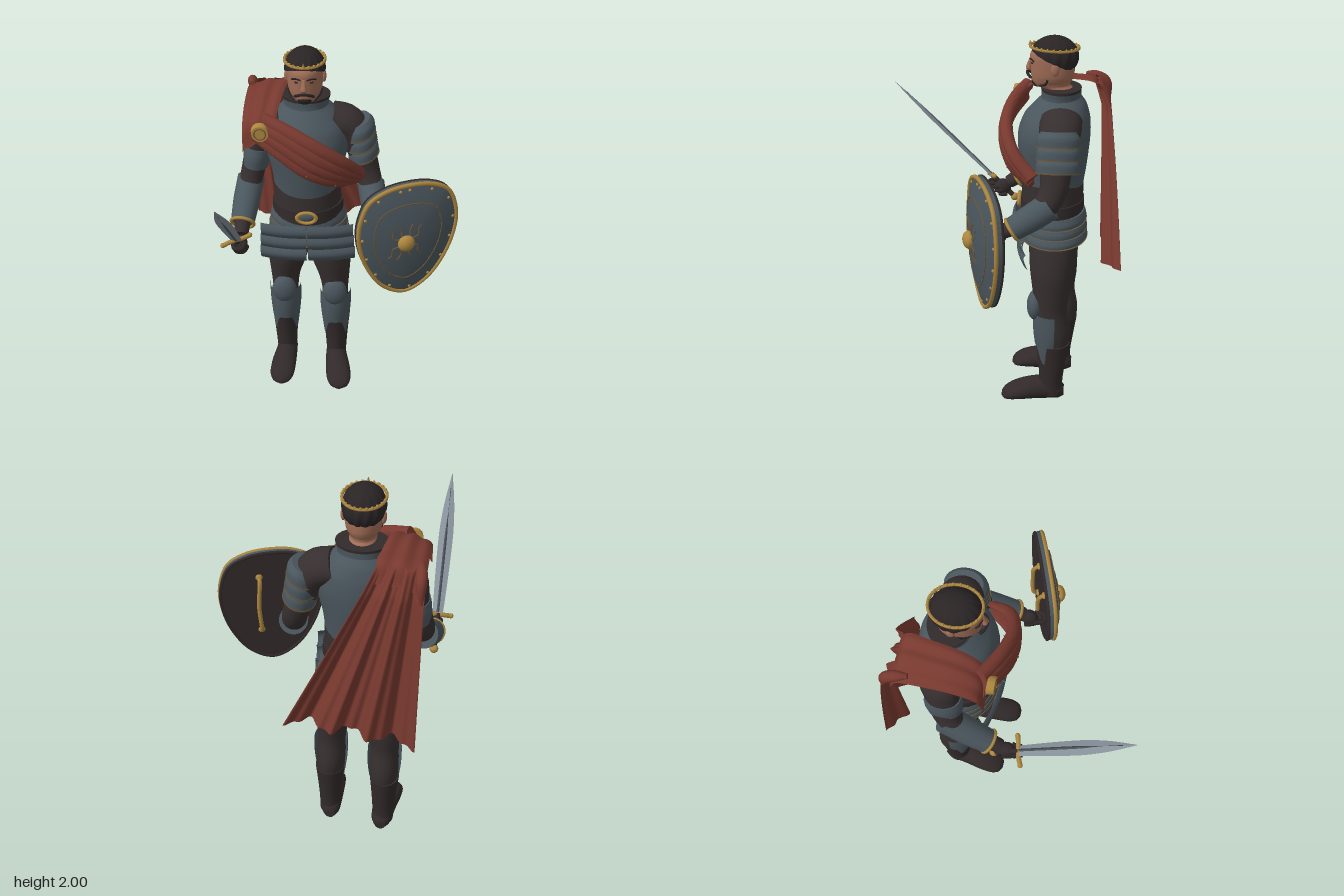
import * as THREE from 'three';
import { toCreasedNormals } from 'three/addons/utils/BufferGeometryUtils.js';
import { ParametricGeometry } from 'three/addons/geometries/ParametricGeometry.js';

const V = (x, y, z) => new THREE.Vector3(x, y, z);
const X = V(1, 0, 0), Y = V(0, 1, 0), Z = V(0, 0, 1);
const { lerp } = THREE.MathUtils;
const { sin, cos, PI, abs } = Math;
const CX = -0.18; // body centre line

function mat(name, color, side = THREE.FrontSide) {
  const m = new THREE.MeshStandardMaterial({ color, side });
  m.name = name;
  return m;
}
// Smooth solid through elliptical sections [x, y, z, r1, r2]
function sweep(pts, { ref = Z, dir = null, n = 24, steps = 5, crease = 0.8 } = {}) {
  const path = new THREE.CatmullRomCurve3(pts.map(p => V(p[0], p[1], p[2])));
  const radii = new THREE.CatmullRomCurve3(pts.map(p => V(p[3], p[4] ?? p[3], 0)), false, 'catmullrom');
  const N = (pts.length - 1) * steps, pos = [], idx = [];
  for (let i = 0; i <= N; i++) {
    const c = path.getPoint(i / N), r = radii.getPoint(i / N), t = dir ?? path.getTangent(i / N);
    const u = t.clone().cross(ref).normalize(), v = u.clone().cross(t).normalize();
    for (let j = 0; j < n; j++) {
      const a = j / n * 2 * PI;
      pos.push(...c.clone().addScaledVector(u, cos(a) * Math.max(r.x, 5e-4)).addScaledVector(v, sin(a) * Math.max(r.y, 5e-4)));
    }
  }
  pos.push(...path.getPoint(0), ...path.getPoint(1));
  const s = (N + 1) * n;
  for (let j = 0; j < n; j++) {
    const k = (j + 1) % n;
    for (let i = 0; i < N; i++) {
      const a = i * n + j, b = i * n + k;
      idx.push(a, a + n, b, b, a + n, b + n);
    }
    idx.push(s, j, k, s + 1, N * n + k, N * n + j);
  }
  const g = new THREE.BufferGeometry();
  g.setAttribute('position', new THREE.Float32BufferAttribute(pos, 3));
  g.setIndex(idx);
  return toCreasedNormals(g, crease);
}
// Upright solid with level rings, rows of [y, z, rx, rz]
const loft = (rows, x = CX, o = {}) => sweep(rows.map(r => [x, ...r]), { dir: Y, n: 32, ...o });
const sheet = (f, nu, nv) => new ParametricGeometry(f, nu, nv);
const tube = (pts, r, closed = false, seg = 32) =>
  new THREE.TubeGeometry(new THREE.CatmullRomCurve3(pts.map(p => V(...p)), closed), seg, r, 6, closed);

export function createModel() {
  const M = {
    steel: mat('slate steel', 0x4a565d, THREE.DoubleSide),
    cloth: mat('dark cloth', 0x372f2f),
    leather: mat('boot leather', 0x322a2a, THREE.DoubleSide),
    red: mat('red cape cloth', 0x78392f, THREE.DoubleSide),
    gold: mat('gold', 0xac863f),
    bronze: mat('dull bronze', 0x6b5634),
    skin: mat('skin', 0xa06d56),
    hair: mat('dark hair', 0x2a2425, THREE.DoubleSide),
    blade: mat('blade steel', 0x87919a),
    fuller: mat('blade groove', 0x4a5258),
  };
  const model = new THREE.Group();
  const add = (name, geo, m, parent = model) => {
    const mesh = new THREE.Mesh(geo, m);
    mesh.name = name;
    parent.add(mesh);
    return mesh;
  };
  const ball = (name, m, p, s, parent = model) => {
    const b = add(name, new THREE.SphereGeometry(1, 16, 12), m, parent);
    b.position.set(...p);
    b.scale.set(...s);
  };

  // Torso armour, waist and collar
  add('breastplate', loft([[1.235, -.25, .17, .155], [1.35, -.25, .182, .17], [1.5, -.25, .212, .182], [1.6, -.262, .195, .165], [1.67, -.28, .14, .125], [1.71, -.285, .1, .09]]), M.steel);
  add('waist', loft([[.88, -.265, .17, .125], [1, -.262, .19, .15], [1.12, -.25, .178, .158], [1.2, -.25, .173, .158], [1.27, -.25, .175, .156]]), M.cloth);
  add('collar', loft([[1.64, -.275, .135, .12], [1.69, -.28, .112, .1], [1.745, -.28, .118, .098]]), M.steel);
  add('collarRim', loft([[1.735, -.28, .119, .099], [1.748, -.28, .12, .1]]), M.leather);
  for (let i = 0; i < 3; i++) {
    const y = 1.1 - i * .05, w = i * .008;
    add('hipBand', loft([[y, -.26, .186 + w, .158 + w / 2], [y - .03, -.262, .2 + w, .167 + w / 2], [y - .048, -.262, .2 + w, .168 + w / 2]]), M.steel);
    add('hipTrim', loft([[y - .046, -.262, .203 + w, .17 + w / 2], [y - .053, -.262, .203 + w, .17 + w / 2]]), M.bronze);
  }
  add('belt', loft([[1.11, -.25, .186, .164], [1.165, -.25, .183, .164]]), M.leather);
  const buckle = add('buckle', new THREE.TorusGeometry(.042, .01, 8, 28), M.gold);
  buckle.position.set(CX, 1.14, -.08);
  buckle.scale.set(1.15, .75, 1);
  ball('buckleStone', M.steel, [CX, 1.14, -.085], [.038, .022, .012]);

  // Hanging front plates, three curved rows on each side
  for (const s of [-1, 1]) for (let k = 0; k < 3; k++)
    add('frontSkirtPlate', sheet((u, v, p) => p.set(
      CX + s * (.004 + u * (.235 + .005 * k)),
      1.1 - k * .078 - v * .088 - .01 * u,
      -.075 - .012 * k - .045 * u * u + .03 * sin(PI * (.15 + .85 * v))), 14, 8), M.steel);

  // Legs, mirrored about the centre line
  for (const s of [1, -1]) {
    const dz = s > 0 ? 0 : -.035, x = v => CX + s * v, side = s > 0 ? 'left' : 'right';
    add(side + 'Leg', sweep([[x(.09), 1, -.265 + dz / 3, .1, .13], [x(.115), .8, -.26 + dz / 2, .108, .115], [x(.135), .65, -.26 + dz, .083, .095],
      [x(.14), .55, -.262 + dz, .072, .085], [x(.142), .42, -.275 + dz, .075, .092], [x(.145), .28, -.28 + dz, .062, .072]], { dir: Y.clone().negate() }), M.cloth);
    add(side + 'BootShaft', loft([[.04, -.275 + dz, .055, .065], [.12, -.272 + dz, .058, .064], [.24, -.275 + dz, .066, .075], [.36, -.275 + dz, .077, .092]], x(.146)), M.leather);
    const foot = [[.14, .045, -.345, .028, .03], [.142, .06, -.31, .052, .06], [.148, .066, -.22, .062, .066], [.158, .058, -.13, .07, .058], [.164, .043, -.06, .068, .043], [.166, .03, -.02, .05, .029], [.166, .024, -.003, .02, .014]];
    add(side + 'Foot', sweep(foot.map(([a, y, z, w, h]) => [x(a), y, z + dz, w, h]), { ref: Y, dir: Z }), M.leather);
    add(side + 'Greave', sheet((u, v, p) => {
      const a = (u - .5) * PI * 1.1, drop = .11 * Math.max(0, sin(abs(a) * 1.9 - .5)) ** 3;
      const r = .086 - .01 * v + .006 * sin(PI * v) - .08 * drop * v;
      p.set(x(.142) + sin(a) * r, lerp(.55, .355 - drop, v), -.27 + dz + cos(a) * (r + .014));
    }, 28, 8), M.steel);
    ball(side + 'KneeGuard', M.steel, [x(.14), .585, -.178 + dz * .6], [.067, .085, .045]);
  }

  // Arms, bracers and hands
  const arms = {
    left: {
      arm: [[-.06, 1.61, -.285, .105, .08], [.03, 1.58, -.285, .1, .085], [.09, 1.45, -.275, .08, .072], [.13, 1.32, -.262, .068, .062], [.15, 1.24, -.22, .06], [.172, 1.16, -.1, .045], [.18, 1.12, -.03, .036]],
      bracer: [[.147, 1.252, -.25, .07], [.163, 1.19, -.16, .068], [.18, 1.132, -.068, .06]], hand: [.18, 1.1, .0],
    },
    right: {
      arm: [[-.3, 1.61, -.285, .105, .08], [-.39, 1.58, -.285, .1, .08], [-.43, 1.45, -.275, .08, .065], [-.46, 1.32, -.262, .068, .06], [-.48, 1.24, -.22, .058], [-.5, 1.16, -.1, .045], [-.508, 1.09, .0, .036]],
      bracer: [[-.475, 1.262, -.27, .07], [-.492, 1.19, -.16, .068], [-.505, 1.125, -.055, .06]], hand: [-.51, 1.06, .035],
    },
  };
  for (const [side, a] of Object.entries(arms)) {
    add(side + 'Arm', sweep(a.arm, { ref: X }), M.cloth);
    add(side + 'Bracer', sweep(a.bracer, { ref: X }), M.steel);
    const [p, q] = a.bracer.slice(1).map(b => V(b[0], b[1], b[2])), [hx, hy, hz] = a.hand;
    const cuff = add(side + 'Cuff', new THREE.TorusGeometry(.058, .009, 8, 28), M.gold);
    cuff.position.copy(q);
    cuff.quaternion.setFromUnitVectors(Z, q.clone().sub(p).normalize());
    ball(side + 'Palm', M.leather, a.hand, [.036, .045, .045]);
    for (const o of [-.032, -.011, .011, .032])
      add(side + 'Finger', tube([[hx + .03, hy + o, hz + .01 + o], [hx + .015, hy + o - .01, hz + .045 + o], [hx - .02, hy + o - .01, hz + .045 + o], [hx - .03, hy + o, hz + .015 + o]], .012, false, 10), M.leather);
  }
  // Layered shoulder guard on the left, single band on the right
  const tilt = { ref: X, n: 32, dir: V(.3, -.95, 0).normalize() };
  for (let k = 0; k < 3; k++) {
    const x = .078 + k * .01, y = 1.605 - k * .062;
    add('shoulderPlate', sweep([[x, y, -.28, .085, .06], [x + .005, y - .03, -.28, .104, .078], [x + .01, y - .075, -.28, .106, .08]], tilt), M.steel);
    add('shoulderTrim', sweep([[x + .01, y - .071, -.28, .108, .082], [x + .011, y - .077, -.28, .108, .082]], tilt), M.bronze);
  }
  add('rightArmBand', sweep([[-.43, 1.46, -.275, .085, .068], [-.437, 1.41, -.272, .092, .07], [-.445, 1.35, -.268, .085, .065]], { ref: X }), M.steel);

  // Head
  add('head', loft([[1.66, -.285, .066, .07], [1.735, -.275, .064, .072], [1.763, -.232, .062, .09], [1.8, -.235, .08, .104], [1.86, -.235, .087, .108], [1.915, -.232, .085, .106], [1.95, -.236, .062, .08], [1.965, -.24, .03, .04]], CX, { crease: 1.5 }), M.skin);
  add('nose', sweep([[CX, 1.89, -.13, .01, .008], [CX, 1.855, -.12, .013, .012], [CX, 1.838, -.118, .018, .014], [CX, 1.828, -.128, .012, .01]], { dir: Y.clone().negate(), n: 12 }), M.skin);
  add('hair', sheet((u, v, p) => {
    const a = u * 2 * PI, back = (1 - cos(a)) / 2;
    const t = v * Math.acos(lerp(.34, -.6, Math.min(1, back * 1.1))), r = 1 + .02 * sin(a * 14 + t * 2) * sin(t);
    p.set(CX + sin(a) * sin(t) * .098 * r, 1.9 + cos(t) * .1, -.242 + cos(a) * sin(t) * .118 * r);
  }, 84, 14), M.hair);
  add('chinBeard', loft([[1.751, -.172, .024, .026], [1.765, -.172, .038, .037], [1.782, -.175, .044, .043], [1.79, -.176, .034, .042]]), M.hair);
  add('moustache', tube([[CX - .046, 1.802, -.132], [CX - .024, 1.816, -.115], [CX, 1.821, -.111], [CX + .024, 1.816, -.115], [CX + .046, 1.802, -.132]], .007), M.hair);
  for (const s of [-1, 1]) {
    ball('ear', M.skin, [CX + s * .09, 1.855, -.25], [.012, .032, .02]);
    ball('eye', M.hair, [CX + s * .034, 1.872, -.138], [.012, .005, .008]);
    add('eyebrow', tube([[CX + s * .014, 1.887, -.126], [CX + s * .036, 1.892, -.131], [CX + s * .058, 1.885, -.146]], .004, false, 10), M.hair);
    add('jawBeard', tube([[CX + s * .08, 1.805, -.215], [CX + s * .071, 1.778, -.205], [CX + s * .045, 1.763, -.172]], .006, false, 12), M.hair);
  }
  // Crown band with beads
  const ring = [...Array(24)].map((_, i) => i / 24 * 2 * PI).map(a => [CX + sin(a) * .097, 1.945 + .004 * cos(a), -.242 + cos(a) * .118]);
  add('crownBand', tube(ring, .007, true, 64), M.gold);
  ring.forEach(([x, y, z]) => ball('crownBead', M.gold, [x, y + .006, z], [.007, .006, .006]));
  const peak = add('crownPeak', new THREE.ConeGeometry(.009, .026, 6), M.gold);
  peak.position.set(CX, 1.964, -.123);

  // Cape: shoulder drape, gathered knot and pleated fall
  const over = new THREE.CatmullRomCurve3([V(0, 1.58, -.07), V(0, 1.69, -.1), V(0, 1.745, -.2), V(0, 1.757, -.36), V(0, 1.742, -.45), V(0, 1.66, -.488)]);
  add('capeShoulder', sheet((u, v, p) => {
    const c = over.getPoint(v);
    p.set(lerp(-.482, lerp(-.34, -.265, Math.min(1, v * 1.4)), u), c.y - .05 * (1 - u) ** 3 + .005 * sin(u * 16), c.z);
  }, 24, 24), M.red);
  add('capeFall', sheet((u, v, p) => {
    const w = v ** .8, fold = .5 + .5 * cos(2 * PI * (3.15 * u - .08)), ripple = cos(2 * PI * 8 * u);
    p.set(lerp(lerp(-.482, -.265, u), lerp(-.49, .135, u), v),
      lerp(1.735, lerp(.825, .9, u), v),
      -.45 - .03 * Math.min(1, v * 8) - .045 * w - (.015 + .06 * Math.sqrt(v)) * fold - (.004 + .01 * v) * ripple);
  }, 96, 24), M.red);
  add('capeKnot', sweep([[-.455, 1.735, -.4, .012], [-.46, 1.725, -.45, .026, .024], [-.465, 1.69, -.5, .03, .024], [-.47, 1.6, -.525, .008]], { ref: X, n: 14 }), M.red);

  // Chest sash made of overlapping folds
  const mid = [[-.4, 1.655, -.085, .034], [-.27, 1.6, -.022, .036], [-.13, 1.515, .004, .037], [0, 1.425, -.042, .032], [.085, 1.35, -.145, .018]];
  for (const k of [-1.5, -.5, .5, 1.5]) {
    const off = [.03, .037, .042, .034, .016].map(w => w * k);
    add('sashFold', sweep(mid.map(([x, y, z, r], i) => [x + off[i] * .5, y + off[i] * .87, z - .008 * abs(k) - .12 * off[i], r, .026 + .004 * k]), { n: 20 }), M.red);
    if (abs(k) > 1) for (let i = 0; i < 4; i++) for (let f = 0; f < 1; f += .2) {
      const at = c => lerp(mid[i][c], mid[i + 1][c], f), o = lerp(off[i], off[i + 1], f) * 1.2;
      ball('sashStud', M.bronze, [at(0) + o * .5, at(1) + o * .87, at(2) + .012 - .06 * o], [.004, .004, .004]);
    }
  }
  const brooch = add('brooch', new THREE.CylinderGeometry(.04, .046, .034, 24), M.gold);
  brooch.position.set(-.39, 1.648, -.05);
  brooch.rotation.x = PI / 2;
  add('broochRing', new THREE.TorusGeometry(.028, .003, 6, 24), M.bronze).position.set(-.39, 1.648, -.033);

  // Sword pointing up and forward
  const sword = new THREE.Group();
  sword.name = 'sword';
  sword.position.set(-.52, 1.12, .095);
  sword.rotation.x = PI / 4;
  model.add(sword);
  add('blade', sweep([[0, 0, 0, .026, .008], [0, .2, 0, .033, .008], [0, .42, 0, .036, .008], [0, .58, 0, .025, .007], [0, .738, 0, .001, .001]], { n: 4, dir: Y, crease: .15 }), M.blade, sword);
  add('bladeGroove', sweep([[0, .01, 0, .009, .0095], [0, .4, 0, .009, .0095], [0, .66, 0, .002, .006]], { n: 8, dir: Y }), M.fuller, sword);
  add('guard', tube([[-.066, .004, .03], [-.035, .002, .012], [.035, .002, -.012], [.066, .004, -.026]], .012, false, 16), M.gold, sword);
  for (const s of [-1, 1]) ball('guardTip', M.gold, [s * .066, .004, s * -.028], [.013, .013, .013], sword);
  add('grip', new THREE.CylinderGeometry(.014, .014, .17, 12), M.leather, sword).position.y = -.08;
  ball('pommel', M.gold, [0, -.175, 0], [.022, .022, .022], sword);

  // Shield: rounded kite outline, domed front, gold rim
  const shield = new THREE.Group();
  shield.name = 'shield';
  shield.position.set(.33, 1.14, .06);
  shield.rotation.y = .36;
  model.add(shield);
  const half = [[.12, .285], [.21, .235], [.255, .13], [.262, .02], [.22, -.14], [.122, -.29]];
  const outline = new THREE.CatmullRomCurve3([[0, .3], ...half, [0, -.35], ...half.map(([x, y]) => [-x, y]).reverse()].map(p => V(p[0], p[1], 0)), true);
  const edge = outline.getSpacedPoints(72).slice(0, -1);
  const dome = r => .052 * (1 - r * r), bx = -.03;
  const loop = (r, z) => edge.map(p => [p.x * r + bx * (1 - r), p.y * r, dome(r) + z]);
  add('shieldBody', new THREE.ExtrudeGeometry(new THREE.Shape(edge.map(p => new THREE.Vector2(p.x, p.y))), { depth: .03, bevelEnabled: false }), [M.leather, M.steel], shield).position.z = -.031;
  add('shieldFace', sheet((u, v, p) => {
    const c = outline.getPointAt(u % 1);
    p.set(c.x * v + bx * (1 - v), c.y * v, dome(v));
  }, 72, 12), M.steel, shield);
  add('shieldRim', tube(loop(.985, 0), .011, true, 96), M.gold, shield);
  add('shieldBackRim', tube(loop(.985, -.032), .008, true, 96), M.leather, shield);
  add('shieldInnerLine', tube(loop(.68, .001), .003, true, 96), M.bronze, shield);
  loop(.68, .001).filter((_, i) => i % 3 === 0).forEach(p => ball('lineStud', M.bronze, p, [.005, .005, .004], shield));
  loop(.91, 0).filter((_, i) => i % 5 === 0).forEach(p => ball('shieldStud', M.gold, p, [.008, .008, .007], shield));
  ball('shieldBoss', M.gold, [bx, 0, .06], [.044, .044, .03], shield);
  for (const sx of [-1, 1]) for (const sy of [-1, 1])
    for (const line of [[[.03, .02], [.065, .03], [.07, .07], [.085, .085]], [[.022, .04], [.024, .075], [.04, .1]]])
      add('shieldScroll', tube(line.map(([x, y]) => [bx + sx * x, sy * y, dome(Math.hypot(x, y) / .27) + .002]), .004, false, 14), M.bronze, shield);
  for (const x of [-.1, .06]) {
    add('shieldStrap', tube([[x, .16, -.032], [x, .145, -.054], [x + .01, 0, -.062], [x, -.145, -.054], [x, -.16, -.032]], .011, false, 24), M.gold, shield);
    for (const y of [-.16, .16]) ball('strapRivet', M.gold, [x, y, -.034], [.018, .018, .012], shield);
  }
  return model;
}
